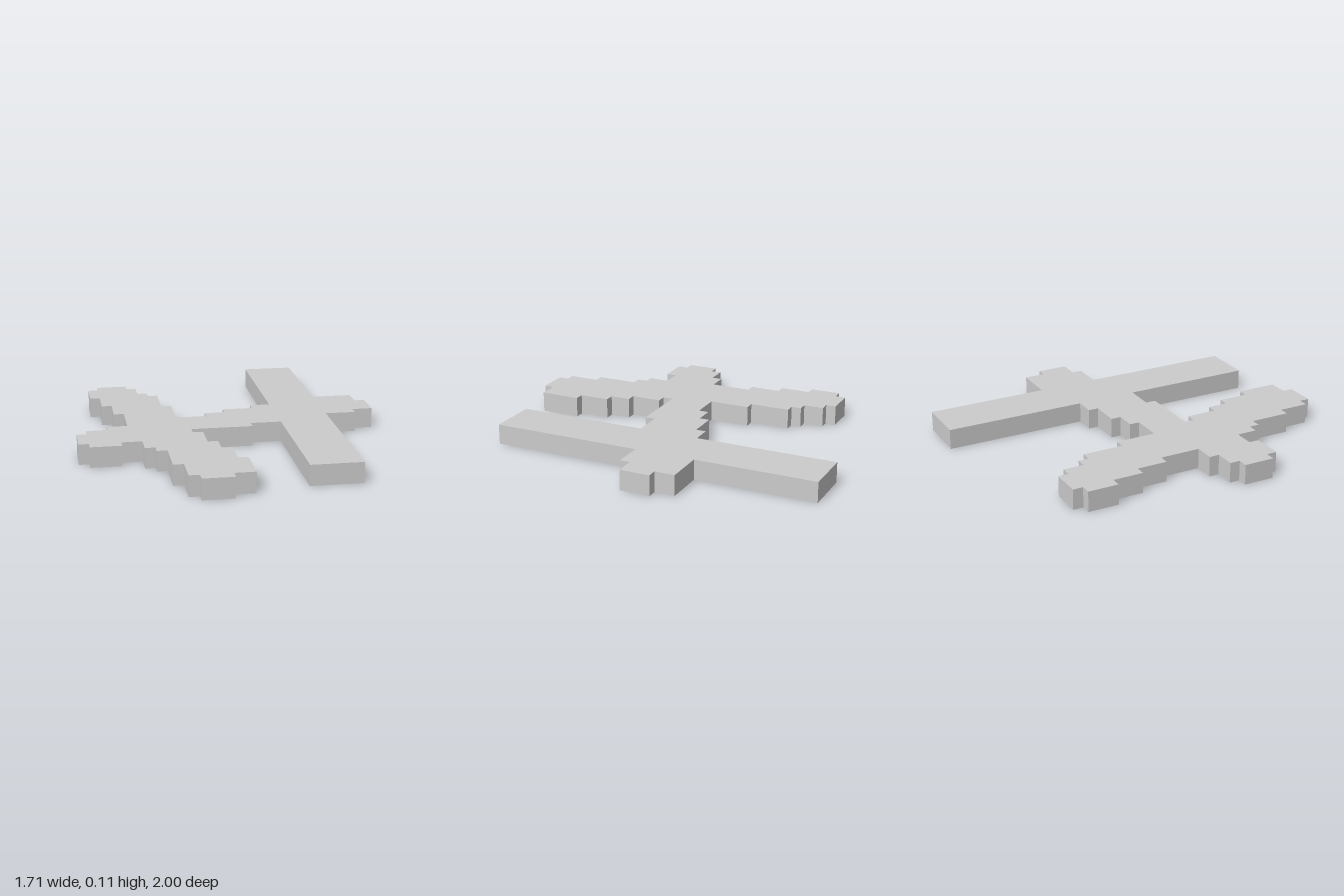
import * as THREE from 'three';

const CELL = 2 / 35;          // size of one grid cell
const COLS = 30, ROWS = 35;   // grid extent in x and z
const THICKNESS = 2 * CELL;

// Stepped outline, clockwise from above, starting at the bar's back-right corner.
// Every edge is axis aligned, so entries alternate: next column, next row.
const START = [20, 0];
const OUTLINE = [
  // straight bar (back half) and blunt nose
  25, 12, 29, 14, 30, 17, 28, 18,
  // straight bar (front half)
  25, 33, 20, 20,
  // body, front edge
  17, 21, 11, 22,
  // slanted front arm, outward and back
  12, 25, 13, 27, 14, 30, 15, 34, 13, 35,
  10, 34, 9, 31, 8, 27, 7, 26, 6, 24,
  // tail stub
  4, 25, 1, 24, 0, 21, 1, 20, 3, 19,
  // slanted back arm, outward and back
  5, 15, 4, 12, 3, 9, 2, 6, 3, 5,
  6, 6, 7, 8, 8, 9, 9, 13, 10, 17,
  // body, back edge
  13, 16, 15, 15, 18, 14, 20, 0,
];

function steppedShape(start, steps) {
  let [col, row] = start;
  const toPoint = () => new THREE.Vector2((col - COLS / 2) * CELL, (ROWS / 2 - row) * CELL);
  const points = [toPoint()];
  steps.forEach((value, i) => {
    if (i % 2 === 0) col = value;
    else row = value;
    points.push(toPoint());
  });
  points.pop(); // the last step returns to the start
  return new THREE.Shape(points);
}

export function createModel() {
  const group = new THREE.Group();
  group.name = 'flatSteppedFigure';

  // one solid slab, laid flat on the ground
  const geometry = new THREE.ExtrudeGeometry(steppedShape(START, OUTLINE), {
    depth: THICKNESS,
    bevelEnabled: false,
  });
  geometry.rotateX(-Math.PI / 2);

  const slab = new THREE.Mesh(
    geometry,
    new THREE.MeshStandardMaterial({ color: 0xcccccc, flatShading: true }),
  );
  slab.name = 'steppedSlab';
  group.add(slab);
  return group;
}
